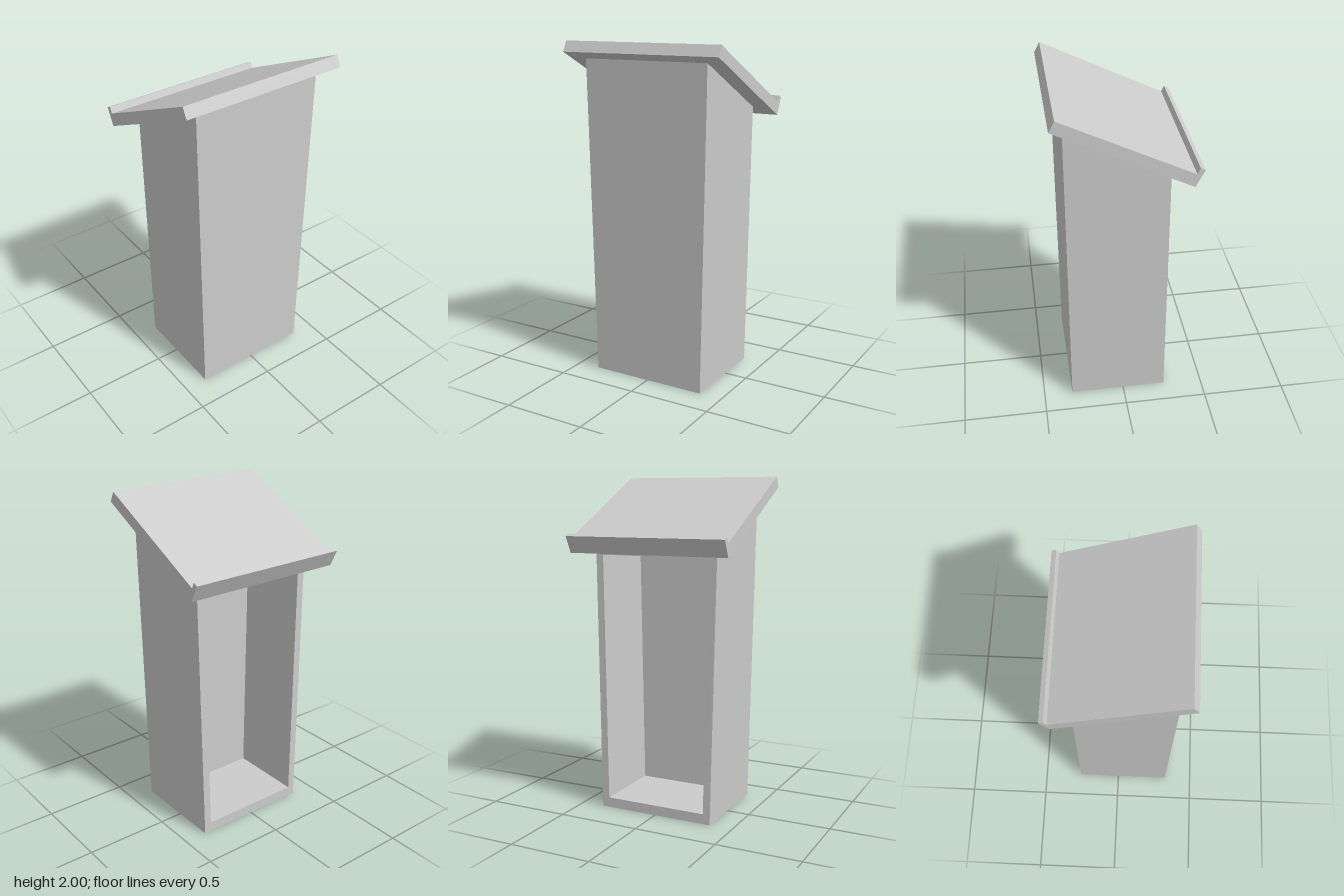
import * as THREE from 'three';

const material = new THREE.MeshStandardMaterial({ color: 0xcccccc, flatShading: true });

// Half width of the cabinet, widening with height
const halfWidth = (y) => 0.36 + 0.0184 * y;

// Four corners of a tapered upright section, counter-clockwise seen from the front
function section(bottomY, topY, bottomZ, topZ, inset = 0) {
  const b = halfWidth(bottomY) - inset, t = halfWidth(topY) - inset;
  return [[-b, bottomY, bottomZ], [b, bottomY, bottomZ], [t, topY, topZ], [-t, topY, topZ]];
}

// Skin over successive four-cornered sections, capped at both ends
function loft(sections) {
  const positions = [];
  const quad = (a, b, c, d) => positions.push(...a, ...b, ...c, ...a, ...c, ...d);
  quad(...sections[0]);
  for (let s = 0; s < sections.length - 1; s++) {
    const p = sections[s], q = sections[s + 1];
    for (let i = 0; i < 4; i++) {
      const j = (i + 1) % 4;
      quad(p[i], q[i], q[j], p[j]);
    }
  }
  quad(...[...sections[sections.length - 1]].reverse());
  const geometry = new THREE.BufferGeometry();
  geometry.setAttribute('position', new THREE.Float32BufferAttribute(positions, 3));
  geometry.computeVertexNormals();
  return geometry;
}

export function createModel() {
  const group = new THREE.Group();
  const add = (name, geometry) => {
    const mesh = new THREE.Mesh(geometry, material);
    mesh.name = name;
    group.add(mesh);
  };

  // Cabinet: front face, outer sides, back frame, then the cavity behind it
  add('cabinet', loft([
    section(0, 1.9, 0.325, 0.33),
    section(0, 1.612, -0.262, -0.25),
    section(0.06, 1.545, -0.262, -0.25, 0.045),
    section(0.06, 1.545, 0.2, 0.205, 0.045),
  ]));

  // Sloping reading board with a raised lip along its low edge, as (z, y) profile
  const profile = [
    [0.405, 1.938], [-0.355, 1.558], [-0.405, 1.657],
    [-0.378, 1.671], [-0.362, 1.635], [0.373, 2.0],
  ];
  const shape = new THREE.Shape(profile.map(([z, y]) => new THREE.Vector2(-z, y)));
  const board = new THREE.ExtrudeGeometry(shape, { depth: 1, bevelEnabled: false });
  board.translate(0, 0, -0.5).rotateY(Math.PI / 2);
  add('readingBoard', board);

  return group;
}
